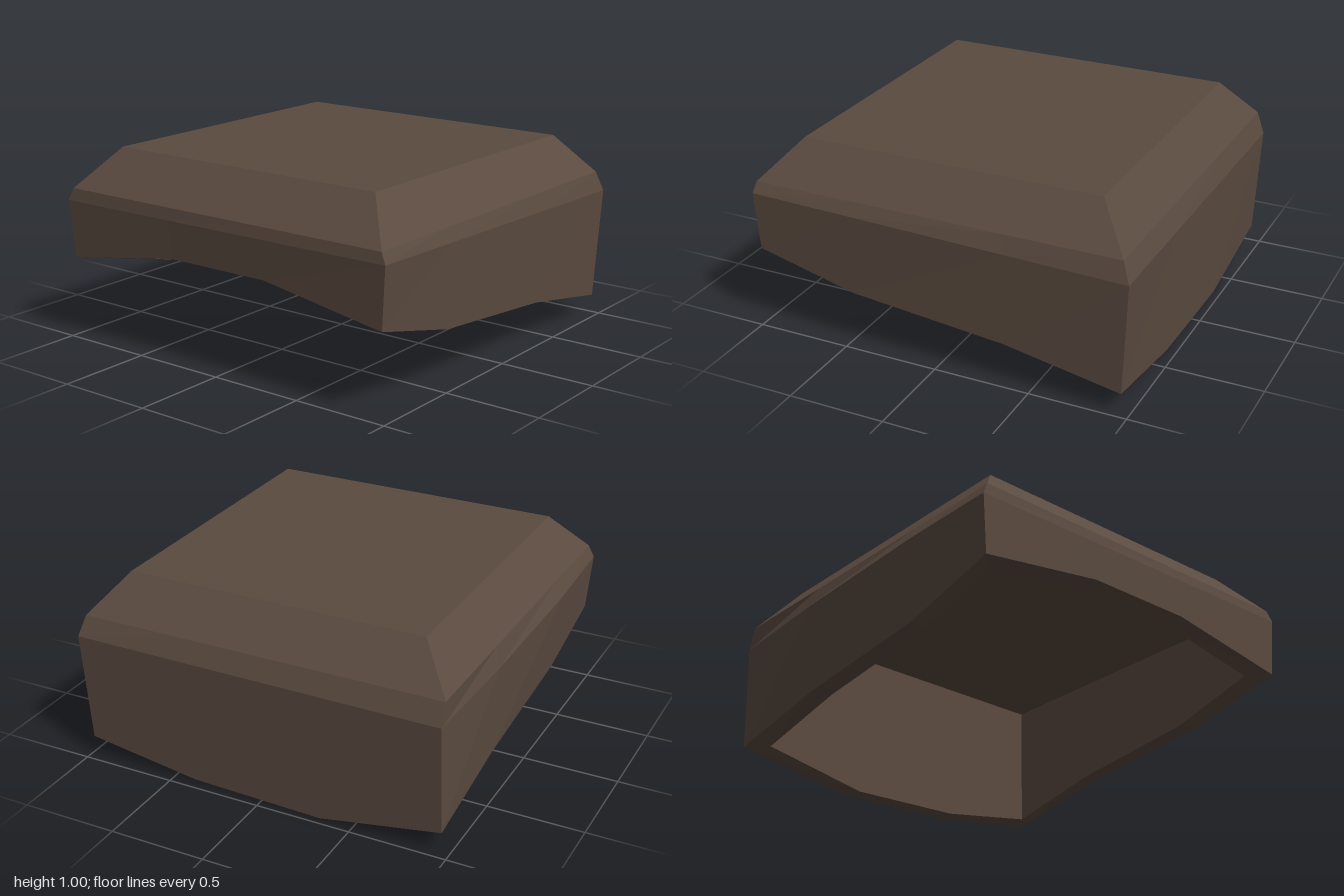
import * as THREE from 'three';

const brown = new THREE.MeshStandardMaterial({ color: 0x5b4b40 });
brown.name = 'darkBrown';

// Where the two inner points sit along the front, left, back and right edges
const FRACTIONS = [[0.35, 0.65], [0.27, 0.69], [0.31, 0.67], [0.31, 0.73]];

// Scalloped heights of the lower rim, walking front, left, back, right
const RIM = [0.43, 0.54, 0.54, 0.43, 0.3, 0.22, 0.11, 0.02, 0, 0.11, 0.22, 0.3];

// Twelve-point ring through four corners: front right, front left, back left, back right
function ring(corners, heights, bulge = 0) {
  const points = [];
  corners.forEach((c, e) => {
    const a = new THREE.Vector3(...c);
    const b = new THREE.Vector3(...corners[(e + 1) % 4]);
    points.push(a);
    for (const t of FRACTIONS[e]) {
      const p = a.clone().lerp(b, t);
      if (e === 3) p.x -= bulge;
      points.push(p);
    }
  });
  if (heights) points.forEach((p, i) => { p.y = heights[i]; });
  return points;
}

const rectRing = (x0, x1, z0, z1, y, heights) =>
  ring([[x0, y, z1], [x1, y, z1], [x1, y, z0], [x0, y, z0]], heights);

function toMesh(name, triangles) {
  const geometry = new THREE.BufferGeometry().setFromPoints(triangles);
  geometry.computeVertexNormals();
  const mesh = new THREE.Mesh(geometry, brown);
  mesh.name = name;
  return mesh;
}

// Band of faces joining two rings
function band(name, a, b) {
  const tris = [];
  a.forEach((p, i) => {
    const j = (i + 1) % a.length;
    tris.push(p, a[j], b[j], p, b[j], b[i]);
  });
  return toMesh(name, tris);
}

// Flat cap closing a ring
function cap(name, r, faceDown) {
  const tris = [];
  for (let i = 1; i < r.length - 1; i++) {
    tris.push(r[0], ...(faceDown ? [r[i + 1], r[i]] : [r[i], r[i + 1]]));
  }
  return toMesh(name, tris);
}

export function createModel() {
  const group = new THREE.Group();
  group.name = 'hollowCap';

  const ceiling = rectRing(-0.86, 0.88, -0.86, 0.88, 0.78);
  const innerRim = rectRing(-0.86, 0.88, -0.86, 0.88, 0, RIM);
  const outerRim = rectRing(-0.96, 0.975, -0.96, 0.985, 0, RIM);
  const widest = ring([
    [-0.985, 0.73, 0.995], [0.998, 0.74, 0.995], [0.998, 0.69, -0.99], [-0.955, 0.68, -0.99],
  ], null, 0.02);
  const shoulder = rectRing(-0.955, 0.97, -0.95, 0.985, 0.795);
  const crown = rectRing(-0.78, 0.8, -0.78, 0.8, 1);

  group.add(
    cap('innerCeiling', ceiling, true),
    band('innerWalls', ceiling, innerRim),
    band('lowerRim', innerRim, outerRim),
    band('outerWalls', outerRim, widest),
    band('shoulderBand', widest, shoulder),
    band('topBevel', shoulder, crown),
    cap('top', crown, false),
  );
  return group;
}
